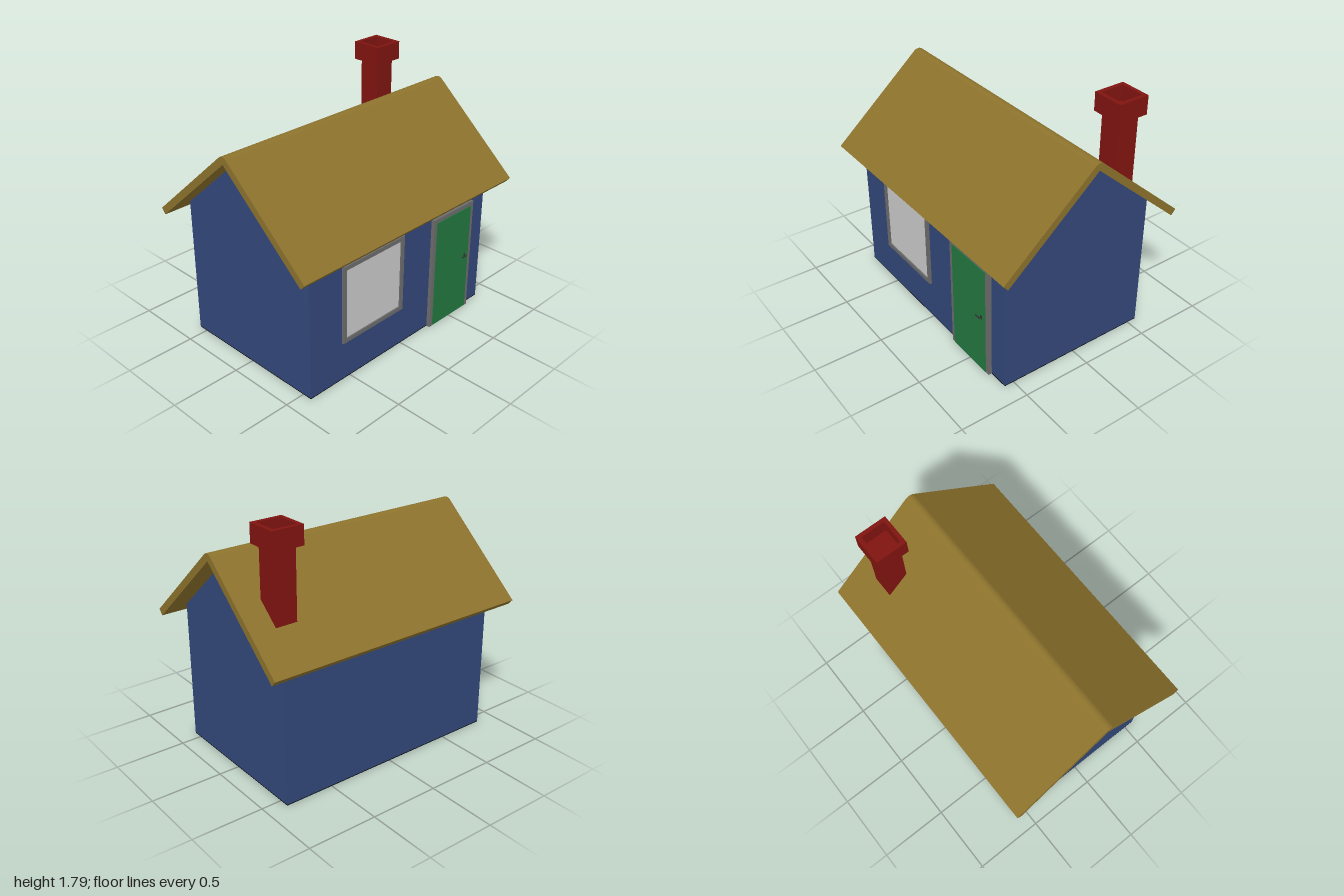
import * as THREE from 'three';

const mat = (color) => new THREE.MeshStandardMaterial({ color, flatShading: true });
const BLUE = mat(0x33487a), ROOF = mat(0x8c722c), RED = mat(0x801410), FRAME = mat(0x6c6c6c);
const GREEN = mat(0x237840), GREY = mat(0xcccccc), DARK = mat(0x333333), BLACK = mat(0x050505);

function add(parent, name, geometry, material, x = 0, y = 0, z = 0) {
  const mesh = new THREE.Mesh(geometry, material);
  mesh.name = name;
  mesh.position.set(x, y, z);
  parent.add(mesh);
  return mesh;
}

const polygon = (points) => new THREE.Shape(points.map(([x, y]) => new THREE.Vector2(x, y)));
const rect = (x0, y0, x1, y1) => polygon([[x0, y0], [x1, y0], [x1, y1], [x0, y1]]);
const extrude = (shape, depth) => new THREE.ExtrudeGeometry(shape, { depth, bevelEnabled: false, curveSegments: 8 });

const HALF = 0.57, EAVE = 1.005, APEX = 1.505, LENGTH = 1.71, WALL = 0.57;

export function createModel() {
  const house = new THREE.Group();
  house.name = 'house';

  // Walls: gabled profile pulled along z, on a thin floor plate
  const gable = polygon([[-HALF, 0.006], [HALF, 0.006], [HALF, EAVE], [0, APEX], [-HALF, EAVE]]);
  add(house, 'walls', extrude(gable, LENGTH), BLUE, 0, 0, -LENGTH / 2);
  add(house, 'floor', new THREE.BoxGeometry(2 * HALF, 0.006, LENGTH), BLACK, 0, 0.003, 0);

  // Roof: bent slab of constant thickness with a rounded ridge
  const pitch = Math.atan2(APEX - EAVE, HALF), t = 0.05;
  const nx = Math.sin(pitch) * t, ny = Math.cos(pitch) * t;
  const ex = 0.656, ey = APEX - ex * Math.tan(pitch);
  const slab = new THREE.Shape();
  slab.moveTo(0, APEX);
  slab.lineTo(ex, ey);
  slab.lineTo(ex + nx, ey + ny);
  slab.lineTo(nx, APEX + ny);
  slab.absarc(0, APEX, t, Math.PI / 2 - pitch, Math.PI / 2 + pitch, false);
  slab.lineTo(-ex - nx, ey + ny);
  slab.lineTo(-ex, ey);
  slab.closePath();
  add(house, 'roof', extrude(slab, 2), ROOF, 0, 0, -1);

  // Chimney: shaft with a hollow cap
  const chimney = new THREE.Group();
  chimney.name = 'chimney';
  chimney.position.set(-0.375, 0, -0.745);
  house.add(chimney);
  add(chimney, 'chimneyShaft', new THREE.BoxGeometry(0.155, 0.56, 0.155), RED, 0, 1.4, 0);
  const ring = rect(-0.113, -0.113, 0.113, 0.113);
  ring.holes.push(rect(-0.085, -0.085, 0.085, 0.085));
  add(chimney, 'chimneyCap', extrude(ring, 0.13), RED, 0, 1.66, 0).rotation.x = -Math.PI / 2;
  add(chimney, 'chimneyCapFloor', new THREE.BoxGeometry(0.17, 0.02, 0.17), RED, 0, 1.67, 0);

  // Openings are drawn facing +z, then turned onto the +x wall (local x = -z)
  const wall = new THREE.Group();
  wall.name = 'sideWallFittings';
  wall.position.x = WALL;
  wall.rotation.y = Math.PI / 2;
  house.add(wall);

  // Window
  const windowFrame = rect(-0.575, 0.29, -0.005, 0.86);
  windowFrame.holes.push(rect(-0.545, 0.32, -0.035, 0.83));
  add(wall, 'windowFrame', extrude(windowFrame, 0.016), FRAME);
  add(wall, 'windowPane', new THREE.BoxGeometry(0.51, 0.51, 0.006), GREY, -0.29, 0.575, 0.003);

  // Door and its three-sided frame
  const doorFrame = polygon([[0.285, 0], [0.315, 0], [0.315, 0.83], [0.68, 0.83], [0.68, 0],
    [0.71, 0], [0.71, 0.86], [0.285, 0.86]]);
  add(wall, 'doorFrame', extrude(doorFrame, 0.026), FRAME);
  add(wall, 'door', new THREE.BoxGeometry(0.365, 0.826, 0.03), GREEN, 0.4975, 0.417, 0.015);

  // Lever handle
  const handle = new THREE.Group();
  handle.name = 'doorHandle';
  handle.position.set(0.64, 0.45, 0.03);
  wall.add(handle);
  add(handle, 'handlePlate', new THREE.BoxGeometry(0.012, 0.028, 0.004), DARK, 0, 0, 0.002);
  add(handle, 'handleStem', new THREE.CylinderGeometry(0.004, 0.004, 0.016, 10), DARK, 0, 0, 0.01)
    .rotation.x = Math.PI / 2;
  add(handle, 'handleLever', new THREE.BoxGeometry(0.046, 0.008, 0.006), DARK, -0.019, 0.001, 0.017);

  return house;
}
